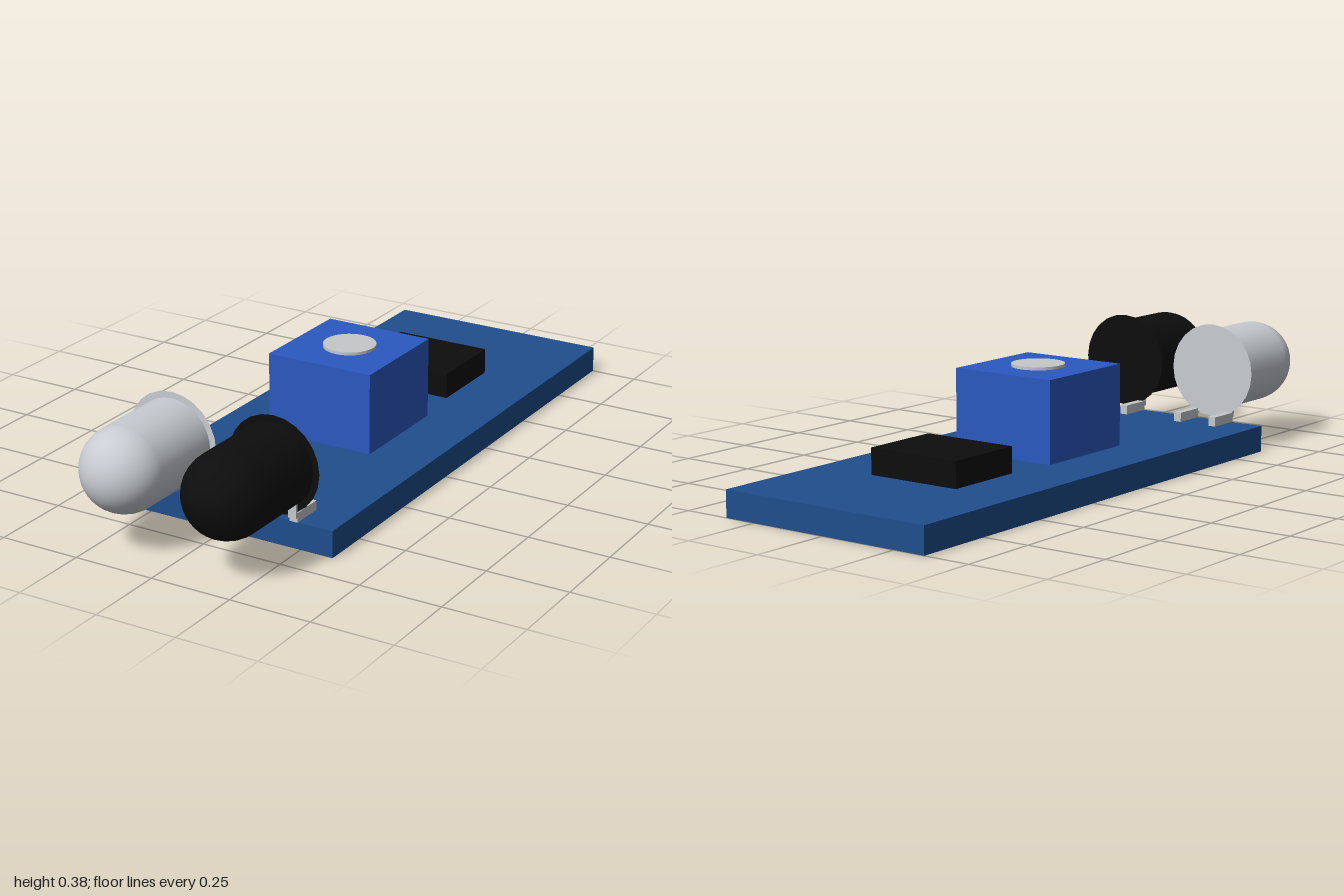
import * as THREE from 'three';

const material = (name, color, side = THREE.FrontSide) => {
  const m = new THREE.MeshStandardMaterial({ color, side });
  m.name = name;
  return m;
};

export function createModel() {
  const model = new THREE.Group();
  model.name = 'sensorModule';

  const boardBlue = material('board blue', 0x1f4e8c);
  const trimmerBlue = material('trimmer blue', 0x2b59c0);
  const black = material('black plastic', 0x0d0d0d, THREE.DoubleSide);
  const clear = material('pale plastic', 0xc8ccd2, THREE.DoubleSide);
  const metal = material('metal', 0xc6c8ca);

  const add = (parent, name, geometry, mat) => {
    const mesh = new THREE.Mesh(geometry, mat);
    mesh.name = name;
    parent.add(mesh);
    return mesh;
  };

  // Box given by its lower and upper corners
  const box = (parent, name, mat, [x0, y0, z0], [x1, y1, z1]) =>
    add(parent, name, new THREE.BoxGeometry(x1 - x0, y1 - y0, z1 - z0), mat)
      .position.set((x0 + x1) / 2, (y0 + y1) / 2, (z0 + z1) / 2);

  // Circuit board and the parts on top of it
  box(model, 'board', boardBlue, [-0.353, 0, -1], [0.353, 0.081, 0.645]);
  box(model, 'chip', black, [-0.153, 0.081, -0.62], [0.153, 0.16, -0.367]);
  box(model, 'trimmerBody', trimmerBlue, [-0.172, 0.081, -0.213], [0.172, 0.329, 0.136]);
  add(model, 'trimmerScrew', new THREE.CylinderGeometry(0.08, 0.08, 0.009, 32), metal)
    .position.set(0, 0.3335, -0.04);

  // Emitter and receiver: domed body, thin rear flange, two bent legs
  const radius = 0.126, bodyLength = 0.229;
  const addDiode = (name, x, mat) => {
    const diode = new THREE.Group();
    diode.name = name;
    diode.position.set(x, 0.237, 0.645);
    model.add(diode);

    const body = new THREE.CylinderGeometry(radius, radius, bodyLength, 32, 1, true);
    body.rotateX(Math.PI / 2).translate(0, 0, bodyLength / 2);
    add(diode, 'body', body, mat);

    const dome = new THREE.SphereGeometry(radius, 32, 12, 0, Math.PI * 2, 0, Math.PI / 2);
    dome.rotateX(Math.PI / 2).translate(0, 0, bodyLength);
    add(diode, 'dome', dome, mat);

    add(diode, 'flange', new THREE.CircleGeometry(0.146, 24), mat);

    for (const side of [-1, 1]) {
      const cx = side * 0.064, w = 0.0125;
      box(diode, 'legFoot', metal, [cx - w, -0.156, -0.097], [cx + w, -0.127, 0.002]);
      box(diode, 'legRiser', metal, [cx - w, -0.142, 0.001], [cx + w, 0, 0.01]);
    }
  };
  addDiode('paleEmitter', -0.168, clear);
  addDiode('blackReceiver', 0.166, black);

  return model;
}
